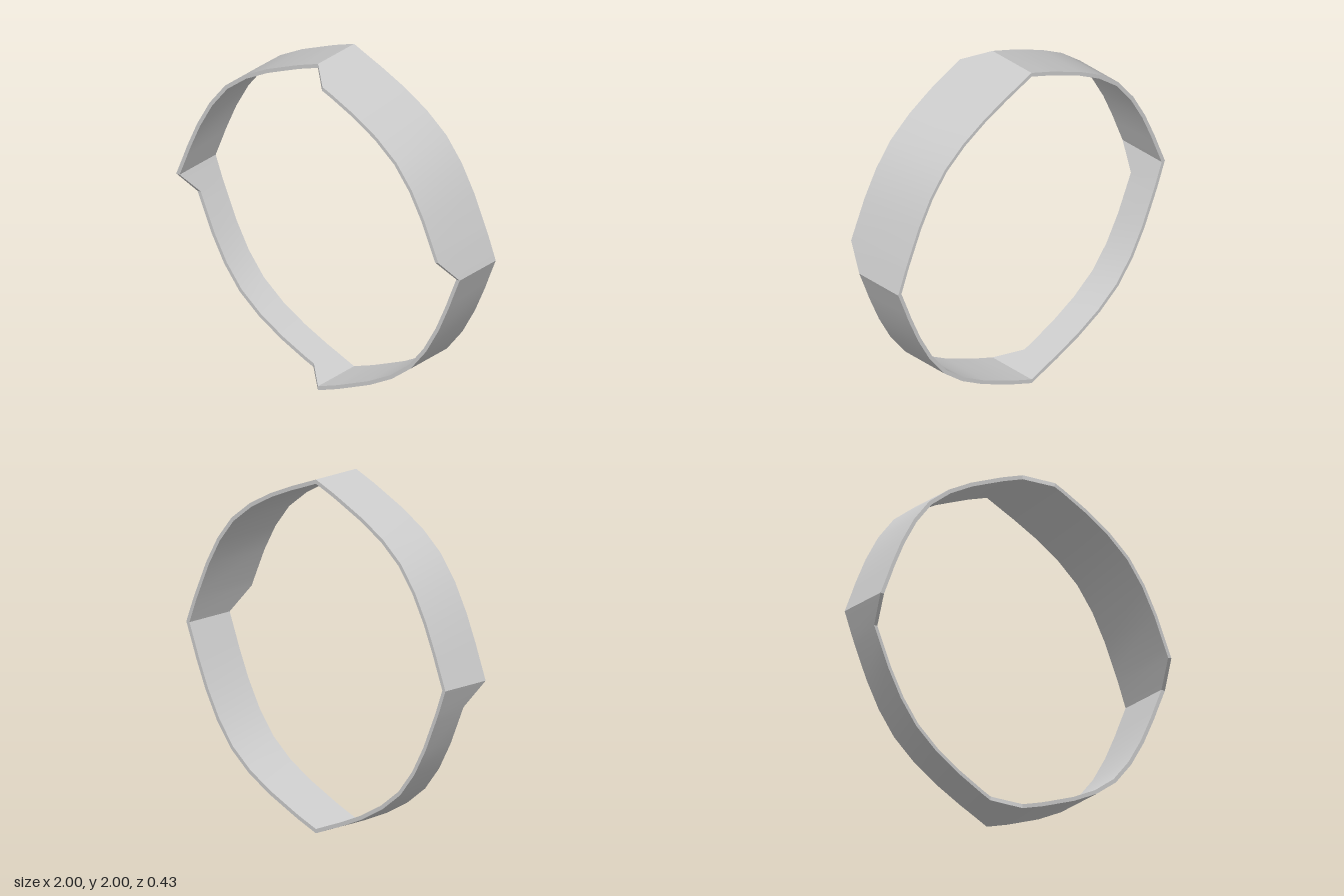
import * as THREE from 'three';
import { toCreasedNormals } from 'three/addons/utils/BufferGeometryUtils.js';

// Outer edge of one quarter, from the top corner to the side corner
const QUARTER = [
  [0, 1], [0.13, 0.948], [0.19, 0.925], [0.355, 0.852], [0.512, 0.764], [0.652, 0.655],
  [0.76, 0.52], [0.848, 0.364], [0.925, 0.19], [0.948, 0.137],
];
const BACK = -0.214, FRONT = 0.095, STEP = 0.119, INNER = 0.976;
// Front edge shift of each quarter: tab, plain, notch, plain
const SHIFT = [STEP, 0, -STEP, 0];

function createBand() {
  const positions = [], index = [];
  SHIFT.forEach((shift, q) => {
    QUARTER.forEach(([px, py], i) => {
      let x = px, y = py;
      for (let k = 0; k < q; k++) [x, y] = [y, -x]; // quarter turns, clockwise
      const front = FRONT + (i === 0 ? 0 : shift); // slope back to the shared corners
      // Cross-section: outer back, outer front, inner front, inner back
      for (const [s, z] of [[1, BACK], [1, front], [INNER, front], [INNER, BACK]]) {
        positions.push(x * s, y * s + 1, z);
      }
    });
  });
  const rings = QUARTER.length * 4;
  for (let i = 0; i < rings; i++) {
    const a = i * 4, b = ((i + 1) % rings) * 4;
    for (let j = 0; j < 4; j++) {
      const k = (j + 1) % 4;
      index.push(a + j, a + k, b + k, a + j, b + k, b + j);
    }
  }
  const geometry = new THREE.BufferGeometry();
  geometry.setAttribute('position', new THREE.Float32BufferAttribute(positions, 3));
  geometry.setIndex(index);
  return toCreasedNormals(geometry, 0.5);
}

export function createModel() {
  const group = new THREE.Group();
  group.name = 'interlockingRing';
  const band = new THREE.Mesh(createBand(), new THREE.MeshStandardMaterial({ color: 0xcccccc }));
  band.name = 'band';
  group.add(band);
  return group;
}
